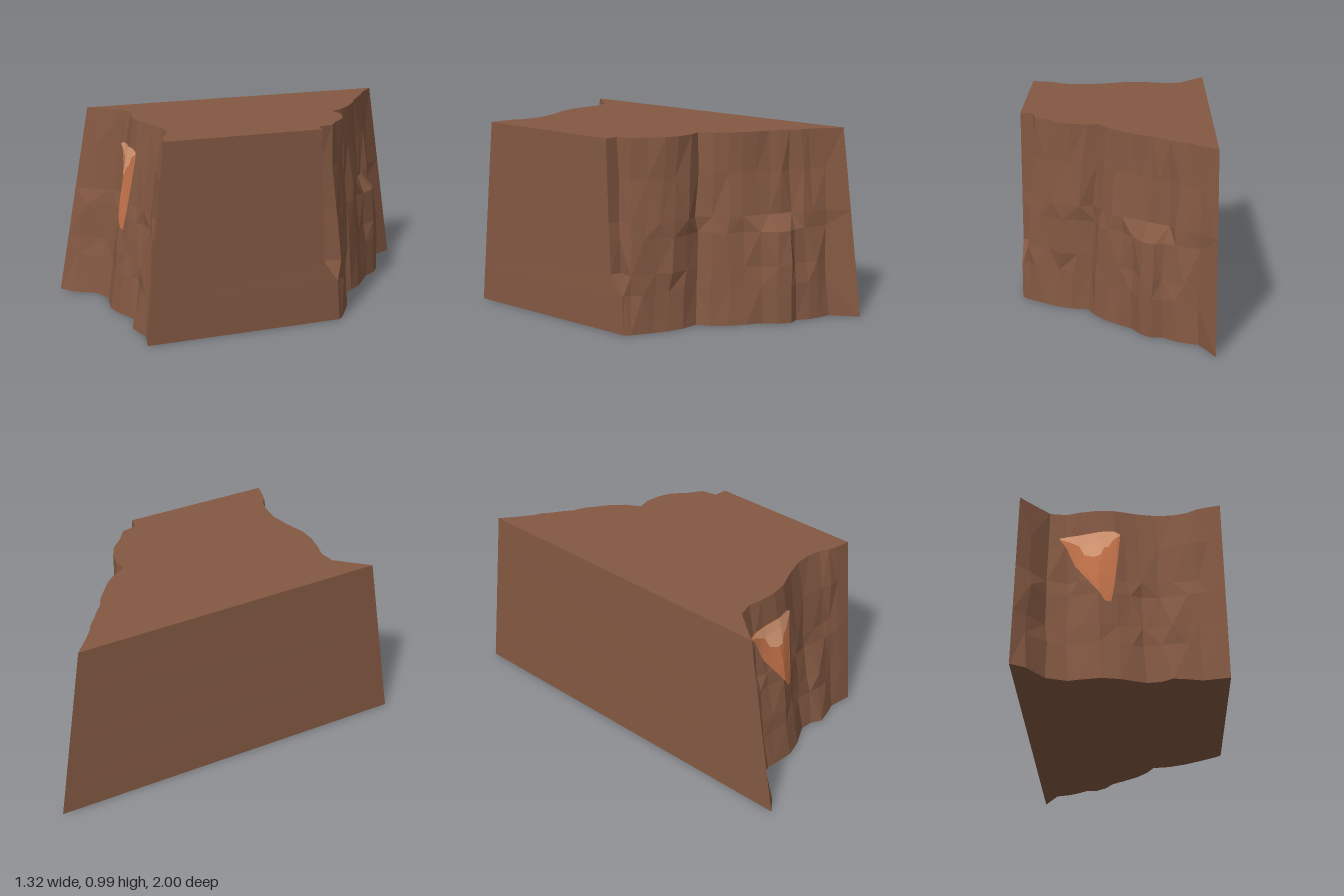
import * as THREE from 'three';

// Heights of the cross-sections
const LEVELS = [0, 0.2, 0.3, 0.48, 0.56, 0.78, 0.985];
const TOP = 0.985;

// Bark edges as [bottom x, bottom z, top x, top z]
const BACK = [
  [-0.05, -1, -0.1, -0.87], [-0.02, -0.84, -0.04, -0.77], [0.04, -0.8, 0, -0.71],
  [0.08, -0.76, 0.03, -0.68], [0.12, -0.7, 0.06, -0.63], [0.17, -0.69, 0.09, -0.59],
  [0.21, -0.63, 0.12, -0.54], [0.23, -0.55, 0.17, -0.49], [0.28, -0.48, 0.21, -0.43],
  [0.33, -0.4, 0.25, -0.37], [0.36, -0.32, 0.28, -0.3], [0.37, -0.24, 0.295, -0.22],
  [0.45, -0.2, 0.36, -0.21], [0.52, -0.14, 0.43, -0.17], [0.57, -0.08, 0.48, -0.12],
  [0.61, -0.03, 0.52, -0.04], [0.64, 0.01, 0.57, 0.03], [0.65, 0.03, 0.56, 0.11],
  [0.655, 0.04, 0.62, 0.14],
];
const FRONT = [
  [0.35, 1, 0.375, 0.9], [0.29, 0.965, 0.31, 0.86], [0.24, 0.935, 0.27, 0.83],
  [0.17, 0.93, 0.24, 0.79], [0.1, 0.92, 0.18, 0.75], [0.06, 0.87, 0.1, 0.72],
  [0, 0.84, 0, 0.71], [-0.07, 0.845, -0.06, 0.71], [-0.13, 0.85, -0.12, 0.71],
  [-0.22, 0.84, -0.2, 0.69], [-0.32, 0.79, -0.28, 0.65], [-0.36, 0.765, -0.34, 0.61],
  [-0.47, 0.77, -0.42, 0.6], [-0.58, 0.86, -0.52, 0.66], [-0.66, 0.88, -0.6, 0.71],
];

// Blend from bottom to top: broken chip and overhanging lip on the back bark
const CHIP = [0, 0.05, 0.1, 0.2, 0.75, 0.9, 1];
const LIP = [0, 0.1, 0.8, 0.85, 0.9, 0.95, 1];

function noise(a, b) {
  const s = Math.sin(a * 127.1 + b * 311.7) * 43758.5453;
  return (s - Math.floor(s)) * 2 - 1;
}

// Rows of points, one per level; small irregularities away from the corners
function barkRows(edge, seed) {
  return LEVELS.map((y, l) => edge.map(([bx, bz, tx, tz], i) => {
    let t = y / TOP;
    if (edge === BACK && i >= 4 && i <= 7) t = CHIP[l];
    if (edge === BACK && i >= 17) t = LIP[l];
    const inner = i > 0 && i < edge.length - 1 && l > 0 && l < LEVELS.length - 1;
    const j = inner ? 0.01 : 0;
    return [
      bx + (tx - bx) * t + j * noise(i + seed, l),
      y,
      bz + (tz - bz) * t + j * noise(i + seed + 50, l),
    ];
  }));
}

function meshFrom(name, triangles, material) {
  const g = new THREE.BufferGeometry();
  g.setAttribute('position', new THREE.Float32BufferAttribute(triangles.flat(2), 3));
  g.computeVertexNormals();
  const mesh = new THREE.Mesh(g, material);
  mesh.name = name;
  return mesh;
}

// Skin a grid of rows
function loft(rows) {
  const tris = [];
  for (let l = 0; l < rows.length - 1; l++) {
    for (let i = 0; i < rows[l].length - 1; i++) {
      const a = rows[l][i], b = rows[l][i + 1], c = rows[l + 1][i], d = rows[l + 1][i + 1];
      if ((i + l) % 2) tris.push([a, c, b], [b, c, d]);
      else tris.push([a, c, d], [a, d, b]);
    }
  }
  return tris;
}

// Flat face filling an outline, turned up or down
function cap(outline, up) {
  const contour = outline.map((p) => new THREE.Vector2(p[0], p[2]));
  return THREE.ShapeUtils.triangulateShape(contour, []).map(([i, j, k]) => {
    const [a, b, c] = [outline[i], outline[j], outline[k]];
    const ny = (b[2] - a[2]) * (c[0] - a[0]) - (b[0] - a[0]) * (c[2] - a[2]);
    return (ny > 0) === up ? [a, b, c] : [a, c, b];
  });
}

// Depth of the front bark at a given x and height
function barkDepth(rows, x, y) {
  let l = 0;
  while (l < LEVELS.length - 2 && LEVELS[l + 1] < y) l++;
  const f = (y - LEVELS[l]) / (LEVELS[l + 1] - LEVELS[l]);
  const pts = rows[l].map((p, i) => p.map((v, k) => v + (rows[l + 1][i][k] - v) * f));
  for (let i = 0; i < pts.length - 1; i++) {
    const [p, q] = [pts[i], pts[i + 1]];
    if (x <= p[0] && x >= q[0]) return p[2] + ((q[2] - p[2]) * (p[0] - x)) / (p[0] - q[0]);
  }
  return pts[0][2];
}

// Thin patch laid on the front bark from columns [x, low y, high y]
function patch(rows, columns, lift) {
  const n = 10;
  const fine = [];
  columns.forEach((c, i) => {
    if (i) fine.push(c.map((v, k) => (v + columns[i - 1][k]) / 2));
    fine.push(c);
  });
  const grid = [];
  for (let s = 0; s <= n; s++) {
    grid.push(fine.map(([x, lo, hi]) => {
      const y = lo + ((hi - lo) * s) / n;
      return [x, y, barkDepth(rows, x, y) + lift];
    }).reverse());
  }
  return loft(grid);
}

export function createModel() {
  const bark = new THREE.MeshStandardMaterial({ color: 0x835842, flatShading: true, side: THREE.DoubleSide });
  bark.name = 'brown bark';
  const inner = new THREE.MeshStandardMaterial({ color: 0xc4734a, flatShading: true, side: THREE.DoubleSide });
  inner.name = 'orange inner bark';
  const wood = new THREE.MeshStandardMaterial({ color: 0xdc9c76, flatShading: true, side: THREE.DoubleSide });
  wood.name = 'pale wood';

  const group = new THREE.Group();
  group.name = 'barkBlock';
  const back = barkRows(BACK, 3);
  const front = barkRows(FRONT, 90);
  const last = LEVELS.length - 1;
  const side = (from, to) => loft(LEVELS.map((y, l) => [from[l][from[l].length - 1], to[l][0]]));
  const outline = (l) => [...back[l], ...front[l]];

  // Bark faces, flat cut sides and ends
  group.add(
    meshFrom('backBark', loft(back), bark),
    meshFrom('frontBark', loft(front), bark),
    meshFrom('leftCutFace', side(back, front), bark),
    meshFrom('rightCutFace', side(front, back), bark),
    meshFrom('topFace', cap(outline(last), true), bark),
    meshFrom('bottomFace', cap(outline(0), false), bark),
  );

  // Scar on the front bark
  const scar = [
    [-0.38, 0.815, 0.82], [-0.35, 0.77, 0.83], [-0.31, 0.65, 0.834], [-0.24, 0.52, 0.84],
    [-0.19, 0.43, 0.843], [-0.16, 0.425, 0.845], [-0.14, 0.52, 0.845], [-0.115, 0.68, 0.84],
    [-0.1, 0.8, 0.83],
  ];
  const notch = [
    [-0.38, 0.815, 0.822], [-0.34, 0.8, 0.832], [-0.29, 0.77, 0.836], [-0.27, 0.71, 0.838],
    [-0.23, 0.69, 0.841], [-0.2, 0.7, 0.843], [-0.18, 0.745, 0.845], [-0.16, 0.75, 0.846],
    [-0.13, 0.8, 0.846], [-0.1, 0.82, 0.832],
  ];
  group.add(
    meshFrom('scar', patch(front, scar, 0.007), inner),
    meshFrom('scarNotch', patch(front, notch, 0.012), wood),
  );
  return group;
}
